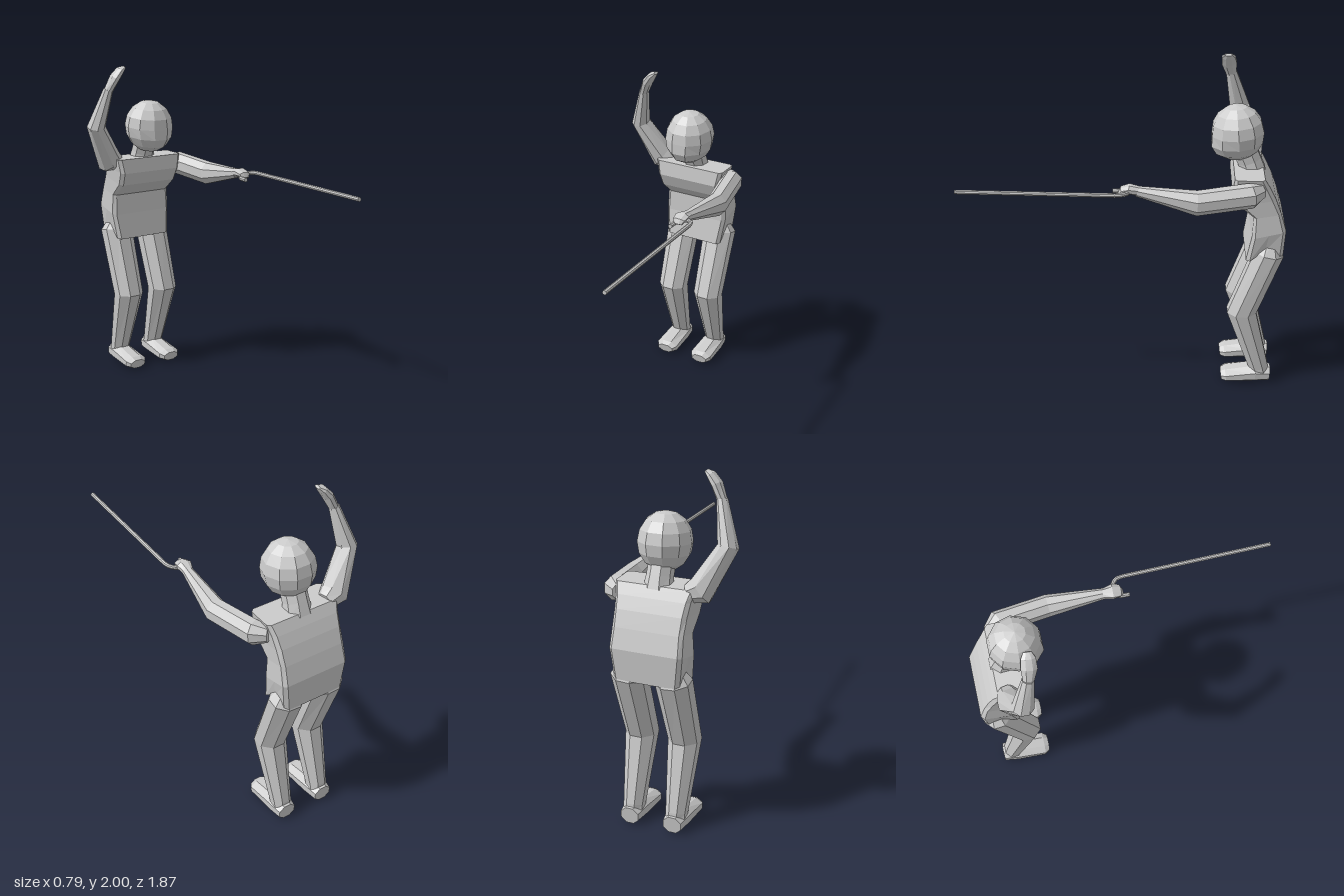
import * as THREE from 'three';

const mat = new THREE.MeshStandardMaterial({ color: 0xcccccc, flatShading: true });
const V = (x, y, z) => new THREE.Vector3(x, y, z);

function named(geo, name) {
  const m = new THREE.Mesh(geo, mat);
  m.name = name;
  return m;
}

// Skins closed rings of points and caps both ends
function loft(rings, name) {
  const n = rings[0].length, pos = [], idx = [];
  rings.forEach(r => r.forEach(p => pos.push(p.x, p.y, p.z)));
  for (let k = 0; k < rings.length - 1; k++) for (let i = 0; i < n; i++) {
    const a = k * n + i, b = k * n + (i + 1) % n;
    idx.push(a, b, b + n, a, b + n, a + n);
  }
  [0, rings.length - 1].forEach((k, end) => {
    const c = rings[k].reduce((s, p) => s.add(p), V(0, 0, 0)).divideScalar(n);
    const ci = pos.length / 3;
    pos.push(c.x, c.y, c.z);
    for (let i = 0; i < n; i++) {
      const a = k * n + i, b = k * n + (i + 1) % n;
      end ? idx.push(ci, a, b) : idx.push(ci, b, a);
    }
  });
  const g = new THREE.BufferGeometry();
  g.setAttribute('position', new THREE.Float32BufferAttribute(pos, 3));
  g.setIndex(idx);
  g.computeVertexNormals();
  return named(g, name);
}

// Faceted limb through stations [x, y, z, sideRadius, otherRadius]
function limb(st, ref, name, sides = 8) {
  const c = st.map(s => V(s[0], s[1], s[2]));
  return loft(st.map((s, k) => {
    const t = V(0, 0, 0);
    if (k > 0) t.add(c[k].clone().sub(c[k - 1]).normalize());
    if (k < c.length - 1) t.add(c[k + 1].clone().sub(c[k]).normalize());
    t.normalize();
    const side = ref.clone().cross(t).normalize(), up = t.clone().cross(side);
    return Array.from({ length: sides }, (_, i) => {
      const a = (i + 0.5) / sides * Math.PI * 2;
      const p = c[k].clone().addScaledVector(side, Math.cos(a) * s[3] * 1.05)
        .addScaledVector(up, Math.sin(a) * s[4] * 1.05);
      p.y = Math.max(p.y, 0);
      return p;
    });
  }), name);
}

export function createModel() {
  const g = new THREE.Group();
  g.name = 'figure';
  const Y = V(0, 1, 0), Z = V(0, 0, 1), CX = 0.023;

  // Torso rows: front y, front z, back y, back z, half width, side lift
  const rows = [
    [0.87, -0.71, 0.90, -0.925, 0.19, 0.06],
    [1.03, -0.735, 1.08, -0.93, 0.21, 0],
    [1.16, -0.74, 1.19, -0.895, 0.205, 0],
    [1.24, -0.645, 1.28, -0.86, 0.208, 0],
    [1.32, -0.61, 1.35, -0.825, 0.215, 0],
    [1.41, -0.62, 1.41, -0.79, 0.23, 0],
  ];
  const stops = [[0, 0.02], [0.1, 0], [0.5, 0], [0.9, 0], [1, 0.02]];
  g.add(loft(rows.map(([yf, zf, yb, zb, w, lift]) => {
    const half = stops.map(([s, inset]) => V(w - inset,
      yf + (yb - yf) * s + (s === 0.5 ? lift : 0), zf + (zb - zf) * s));
    const other = half.map(p => V(-p.x, p.y, p.z)).reverse();
    return [...half, ...other].map(p => p.setX(p.x + CX));
  }), 'torso'));

  // Neck
  g.add(limb([[CX, 1.37, -0.735, 0.08, 0.075], [CX, 1.44, -0.71, 0.07, 0.07],
    [CX, 1.53, -0.67, 0.07, 0.07]], Z, 'neck'));

  // Head: low-poly ball with the lower face pushed forward into a chin
  const head = new THREE.SphereGeometry(1, 10, 8);
  const hp = head.attributes.position;
  for (let i = 0; i < hp.count; i++) {
    const y = hp.getY(i), z = hp.getZ(i);
    if (z > 0.1 && y < -0.1) hp.setZ(i, z * (1 + 0.35 * -y));
  }
  head.scale(0.152, 0.164, 0.155);
  head.rotateX(0.1);
  head.translate(CX, 1.611, -0.635);
  head.computeVertexNormals();
  g.add(named(head, 'head'));

  // Legs with bent knees, and feet
  for (const [side, x] of [['right', -0.107], ['left', 0.154]]) {
    const s = Math.sign(x);
    g.add(limb([
      [x - s * 0.01, 0.99, -0.85, 0.05, 0.045],
      [x, 0.91, -0.845, 0.1, 0.088],
      [x, 0.5, -0.705, 0.09, 0.09],
      [x, 0.1, -0.83, 0.06, 0.06],
      [x, 0.05, -0.845, 0.06, 0.05],
    ], Z, side + 'Leg'));
    g.add(limb([
      [x, 0.05, -0.9, 0.055, 0.05],
      [x, 0.055, -0.81, 0.07, 0.058],
      [x, 0.038, -0.63, 0.075, 0.04],
      [x, 0.032, -0.6, 0.055, 0.03],
    ], Y, side + 'Foot'));
  }

  // Right arm raised overhead
  g.add(limb([
    [-0.15, 1.38, -0.745, 0.05, 0.05],
    [-0.22, 1.40, -0.73, 0.08, 0.075],
    [-0.343, 1.63, -0.66, 0.055, 0.06],
    [-0.285, 1.86, -0.6, 0.028, 0.032],
  ], Z, 'rightArm'));
  g.add(limb([
    [-0.287, 1.85, -0.6, 0.025, 0.03],
    [-0.25, 1.93, -0.582, 0.028, 0.045],
    [-0.215, 1.975, -0.575, 0.022, 0.04],
    [-0.188, 1.995, -0.573, 0.008, 0.022],
  ], Z, 'rightHand'));

  // Left arm reaching forward
  g.add(limb([
    [0.235, 1.34, -0.77, 0.04, 0.045],
    [0.285, 1.335, -0.71, 0.065, 0.07],
    [0.332, 1.305, -0.41, 0.062, 0.07],
    [0.307, 1.36, -0.07, 0.03, 0.028],
  ], Y, 'leftArm'));
  g.add(limb([
    [0.308, 1.36, -0.09, 0.028, 0.026],
    [0.303, 1.372, -0.03, 0.045, 0.026],
    [0.302, 1.365, 0.01, 0.038, 0.018],
    [0.302, 1.345, 0.022, 0.025, 0.012],
  ], Y, 'leftHand'));

  // Cane: straight shaft with a hooked handle under the hand
  const cane = new THREE.CurvePath();
  const hook = new THREE.CatmullRomCurve3([V(0.385, 1.368, 0.04), V(0.376, 1.368, 0.005),
    V(0.345, 1.362, 0.02 - 0.04), V(0.305, 1.352, -0.02), V(0.28, 1.345, 0.005), V(0.275, 1.343, 0.065)]);
  cane.add(new THREE.LineCurve3(V(0.385, 1.368, 0.94), V(0.385, 1.368, 0.04)));
  cane.add(hook);
  g.add(named(new THREE.TubeGeometry(cane, 60, 0.013, 8), 'cane'));
  for (const [p, r] of [[V(0.385, 1.368, 0.94), 0], [V(0.275, 1.343, 0.065), 0]]) {
    const cap = new THREE.CircleGeometry(0.013, 8);
    cap.translate(p.x, p.y, p.z + r);
    g.add(named(cap, 'caneTip'));
  }
  return g;
}
